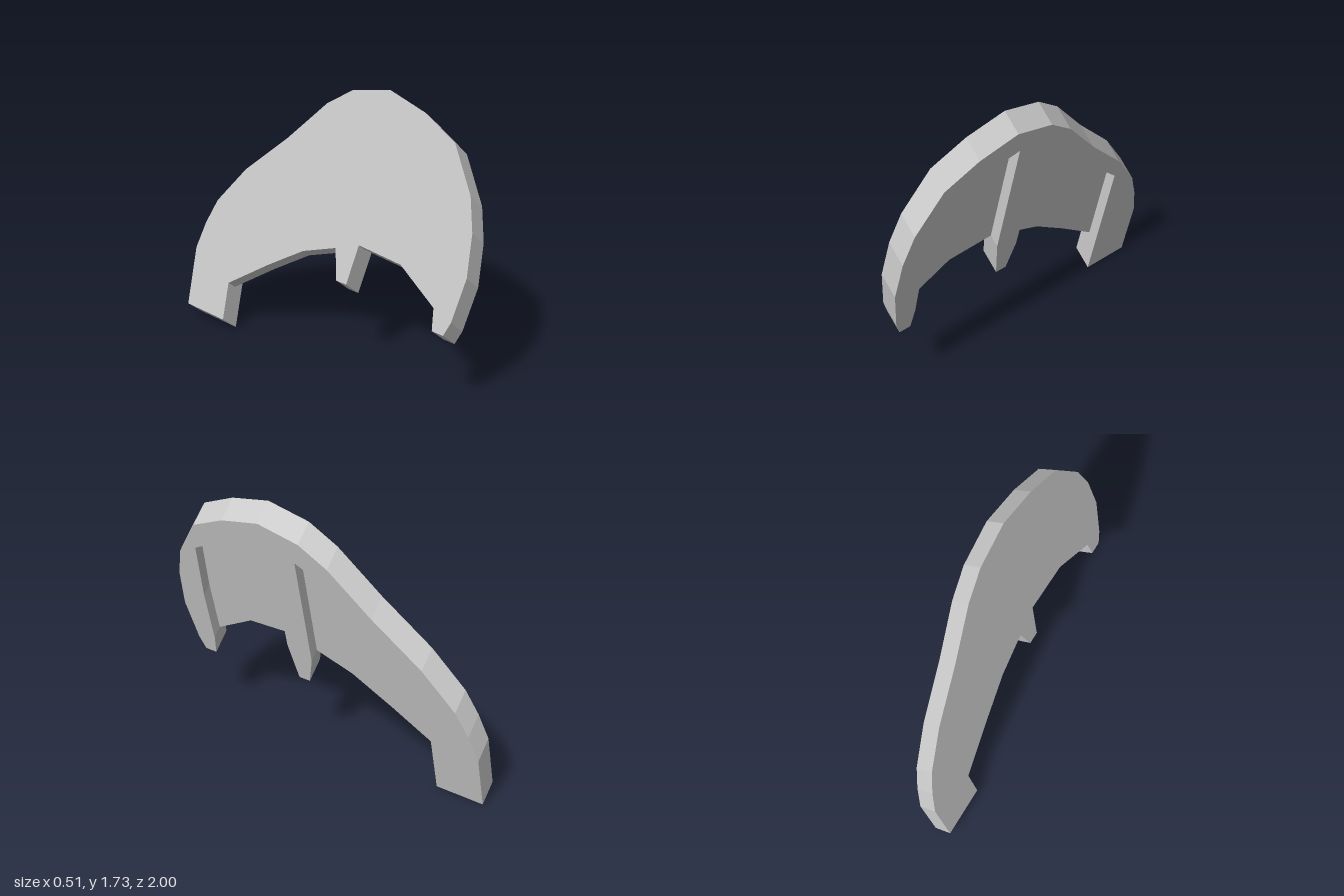
import * as THREE from 'three';

const material = new THREE.MeshStandardMaterial({ color: 0xcccccc, flatShading: true });

// Extrudes a [z, height] profile from depth t0 to t1 (0 = outer face, 1 = back face),
// then leans it into the tilted plane of the plate.
function leaningPlate(name, points, t0, t1) {
  const shape = new THREE.Shape(points.map(([z, y]) => new THREE.Vector2(z, y)));
  const geometry = new THREE.ExtrudeGeometry(shape, { depth: t1 - t0, bevelEnabled: false });
  const p = geometry.attributes.position;
  for (let i = 0; i < p.count; i++) {
    const z = p.getX(i), h = p.getY(i), t = p.getZ(i) + t0;
    p.setXYZ(i, -0.15 + 0.2485 * h - 0.107 * t, h + 0.097 * t, z);
  }
  geometry.computeVertexNormals();
  const mesh = new THREE.Mesh(geometry, material);
  mesh.name = name;
  return mesh;
}

export function createModel() {
  const group = new THREE.Group();
  group.name = 'ribbedGuard';

  // Curved outer edge, front to back
  const rim = [
    [1, 0.8], [0.98, 1.04], [0.925, 1.225], [0.765, 1.465], [0.54, 1.57], [0.28, 1.63],
    [0.02, 1.57], [-0.15, 1.455], [-0.4, 1.195], [-0.69, 0.93], [-0.88, 0.69],
    [-0.95, 0.53], [-1, 0.36],
  ];
  // Upper edges of the two recesses, back to front
  const rearTop = [[-0.69, 0.81], [-0.4, 1.055], [-0.15, 1.31], [0.07, 1.425]];
  const frontTop = [[0.237, 1.49], [0.54, 1.425], [0.797, 1.288], [0.823, 0.92]];
  // Lower edges of the thin panels, front to back
  const rearBottom = [[0.085, 0.687], [-0.15, 0.597], [-0.4, 0.435], [-0.69, 0.232]];
  const frontBottom = [[0.825, 0.58], [0.555, 0.737], [0.247, 0.752]];

  // Full-thickness frame: rim, rear leg, middle rib and front leg
  group.add(leaningPlate('frame', [
    ...rim,
    [-1, 0], [-0.69, 0],
    ...rearTop,
    [0.085, 0.687], [0.13, 0.51], [0.205, 0.51], [0.247, 0.752],
    ...frontTop,
    [0.825, 0.58], [0.842, 0.455], [0.92, 0.455], [0.955, 0.54],
  ], 0, 1));

  // Half-thickness panels flush with the back face
  group.add(leaningPlate('rearPanel', [...rearTop, ...rearBottom], 0.5, 1));
  group.add(leaningPlate('frontPanel', [...frontTop, ...frontBottom], 0.5, 1));

  return group;
}
